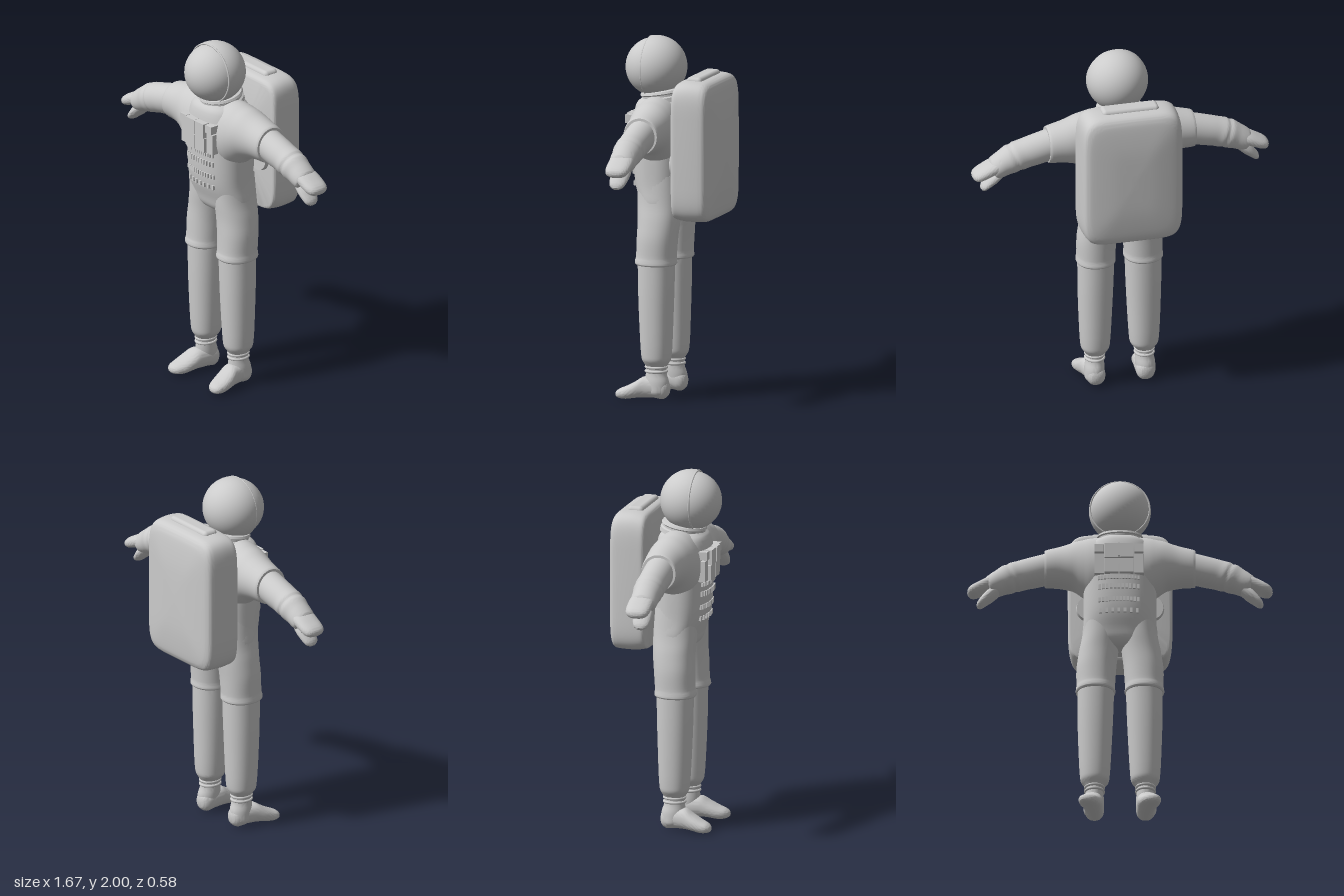
import * as THREE from 'three';
import { toCreasedNormals } from 'three/addons/utils/BufferGeometryUtils.js';
import { RoundedBoxGeometry } from 'three/addons/geometries/RoundedBoxGeometry.js';

const material = new THREE.MeshStandardMaterial({ color: 0xcccccc });
const X = [1, 0, 0], Y = [0, 1, 0], Z = [0, 0, 1];

// Smooth the section list without overshoot
function refine(rows, steps) {
  const out = [];
  const slope = (i, k) => {
    if (i === 0 || i === rows.length - 1) return 0;
    const a = rows[i][k] - rows[i - 1][k], b = rows[i + 1][k] - rows[i][k];
    return a * b <= 0 ? 0 : Math.sign(a) * Math.min(Math.abs(a + b) / 2, 2 * Math.abs(a), 2 * Math.abs(b));
  };
  for (let i = 0; i < rows.length - 1; i++) {
    for (let j = 0; j < steps; j++) {
      const t = j / steps, t2 = t * t, t3 = t2 * t;
      out.push(rows[i].map((p, k) => {
        const q = rows[i + 1][k];
        const m0 = i === 0 ? q - p : slope(i, k);
        const m1 = i === rows.length - 2 ? q - p : slope(i + 1, k);
        return (2 * t3 - 3 * t2 + 1) * p + (t3 - 2 * t2 + t) * m0 + (3 * t2 - 2 * t3) * q + (t3 - t2) * m1;
      }));
    }
  }
  out.push(rows[rows.length - 1]);
  return out;
}

// Closed loft through superellipse sections [cx, cy, cz, ru, rv]; side -1 mirrors in x
function loft(rows, u, v, { side = 1, n = 2, steps = 4, seg = 40, crease = 0.7 } = {}) {
  const rings = refine(rows, steps);
  const cap = r => [r[0], r[1], r[2], 0, 0];
  rings.unshift(cap(rings[0]));
  rings.push(cap(rings[rings.length - 1]));
  const pos = [], idx = [];
  const power = c => Math.sign(c) * Math.pow(Math.abs(c), 2 / n);
  rings.forEach(([x, y, z, ru, rv]) => {
    for (let j = 0; j < seg; j++) {
      const a = (j / seg) * Math.PI * 2;
      const p = power(Math.cos(a)) * ru, q = power(Math.sin(a)) * rv;
      pos.push(side * (x + u[0] * p + v[0] * q), y + u[1] * p + v[1] * q, z + u[2] * p + v[2] * q);
    }
  });
  for (let i = 0; i < rings.length - 1; i++) {
    for (let j = 0; j < seg; j++) {
      const a = i * seg + j, b = i * seg + (j + 1) % seg;
      idx.push(a, b, a + seg, b, b + seg, a + seg);
    }
  }
  // Turn the faces outward
  const P = k => new THREE.Vector3().fromArray(pos, k * 3);
  let volume = 0;
  for (let k = 0; k < idx.length; k += 3) volume += P(idx[k]).dot(P(idx[k + 1]).cross(P(idx[k + 2])));
  if (volume < 0) idx.reverse();
  const g = new THREE.BufferGeometry();
  g.setAttribute('position', new THREE.Float32BufferAttribute(pos, 3));
  g.setIndex(idx);
  return toCreasedNormals(g, crease);
}

export function createModel() {
  const root = new THREE.Group();
  root.name = 'astronaut';
  const add = (name, geometry, x = 0, y = 0, z = 0) => {
    const m = new THREE.Mesh(geometry, material);
    m.name = name;
    m.position.set(x, y, z);
    root.add(m);
    return m;
  };

  // Helmet shell, open toward the front, with visor and rim
  const front = Math.PI / 2;
  add('helmetShell', new THREE.SphereGeometry(0.17, 48, 32, 0, Math.PI * 2, 1.36, Math.PI - 1.36).rotateX(front), 0, 1.83, 0.12);
  add('visor', new THREE.SphereGeometry(0.161, 48, 32), 0, 1.828, 0.129);
  add('visorRim', new THREE.TorusGeometry(0.163, 0.005, 10, 56), 0, 1.83, 0.154);

  // Neck collar, tilted forward
  const collar = [[0.1, -0.05], [0.13, -0.035], [0.128, -0.012], [0.119, -0.005], [0.119, 0.006], [0.126, 0.012], [0.12, 0.024], [0.1, 0.03]];
  add('collar', toCreasedNormals(new THREE.LatheGeometry(collar.map(p => new THREE.Vector2(...p)), 48), 0.7), 0, 1.677, 0.08).rotation.x = 0.16;

  // Suit body and the shoulders that flow into short sleeves
  add('torso', loft([
    [0, 1.66, 0.08, 0.12, 0.11], [0, 1.62, 0.083, 0.165, 0.138], [0, 1.5, 0.085, 0.195, 0.15],
    [0, 1.35, 0.08, 0.2, 0.15], [0, 1.2, 0.075, 0.199, 0.143], [0, 1.1, 0.063, 0.207, 0.125],
    [0, 1.05, 0.06, 0.195, 0.113], [0, 1.02, 0.06, 0.12, 0.085], [0, 1.01, 0.06, 0.04, 0.04],
  ], X, Z, { n: 2.4, seg: 56 }));
  const half = [
    [0.413, 1.51, 0.06, 0.1, 0.097], [0.408, 1.51, 0.06, 0.104, 0.1], [0.33, 1.518, 0.06, 0.117, 0.11],
    [0.26, 1.52, 0.065, 0.137, 0.122], [0.2, 1.505, 0.07, 0.165, 0.135], [0.14, 1.49, 0.075, 0.19, 0.142],
  ];
  add('shoulders', loft([
    ...half, [0, 1.483, 0.08, 0.2, 0.148], ...half.map(([x, ...r]) => [-x, ...r]).reverse(),
  ], Y, Z, { seg: 56 }));

  for (const side of [1, -1]) {
    const name = part => (side > 0 ? 'left' : 'right') + part;
    const part = (label, rows, u, v, options) => add(name(label), loft(rows, u, v, { side, ...options }));

    // Arm, mitten fingers and thumb
    part('Arm', [
      [0.36, 1.52, 0.06, 0.088, 0.085], [0.48, 1.488, 0.06, 0.087, 0.083], [0.54, 1.473, 0.06, 0.084, 0.081],
      [0.575, 1.463, 0.06, 0.084, 0.084], [0.595, 1.456, 0.06, 0.079, 0.079], [0.615, 1.449, 0.06, 0.081, 0.082],
      [0.65, 1.433, 0.06, 0.073, 0.076], [0.69, 1.412, 0.06, 0.066, 0.074], [0.715, 1.4, 0.06, 0.056, 0.068],
      [0.725, 1.395, 0.06, 0.025, 0.04],
    ], [0.37, 0.93, 0], Z);
    part('Fingers', [
      [0.66, 1.44, 0.06, 0.035, 0.06], [0.72, 1.415, 0.056, 0.037, 0.07], [0.77, 1.392, 0.055, 0.034, 0.069],
      [0.803, 1.376, 0.055, 0.031, 0.063], [0.822, 1.367, 0.055, 0.023, 0.05], [0.832, 1.362, 0.055, 0.01, 0.025],
    ], [0.46, 0.89, 0], Z, { n: 2.3 });
    part('Thumb', [
      [0.66, 1.395, 0.06, 0.03, 0.05], [0.71, 1.35, 0.062, 0.032, 0.055], [0.745, 1.317, 0.064, 0.026, 0.05],
      [0.768, 1.293, 0.065, 0.02, 0.04], [0.779, 1.28, 0.065, 0.01, 0.02],
    ], [0.68, 0.73, 0], Z);

    // Upper leg ending in a knee cuff, then lower leg
    part('UpperLeg', [
      [0.1, 1.25, 0.07, 0.095, 0.12], [0.105, 1.1, 0.062, 0.102, 0.121], [0.118, 1, 0.06, 0.108, 0.117],
      [0.13, 0.9, 0.065, 0.109, 0.113], [0.133, 0.8, 0.07, 0.106, 0.111], [0.134, 0.775, 0.072, 0.108, 0.115],
      [0.134, 0.762, 0.072, 0.109, 0.116], [0.134, 0.753, 0.072, 0.104, 0.11],
    ], X, Z, { n: 2.15 });
    part('LowerLeg', [
      [0.133, 0.77, 0.07, 0.101, 0.102], [0.136, 0.55, 0.07, 0.096, 0.097], [0.138, 0.27, 0.068, 0.083, 0.085],
      [0.138, 0.225, 0.068, 0.077, 0.079], [0.139, 0.2, 0.068, 0.06, 0.065], [0.14, 0.185, 0.068, 0.049, 0.056],
    ], X, Z, { n: 2.15 });

    // Ankle rings and boot
    for (const y of [0.183, 0.16]) {
      add(name('AnkleRing'), new THREE.TorusGeometry(0.05, 0.008, 10, 36).rotateX(front).scale(1, 1, 1.13), side * 0.14, y, 0.068);
    }
    part('Ankle', [
      [0.14, 0.2, 0.068, 0.049, 0.056], [0.14, 0.15, 0.068, 0.05, 0.058], [0.143, 0.1, 0.062, 0.055, 0.066],
      [0.145, 0.05, 0.058, 0.054, 0.06], [0.146, 0.02, 0.055, 0.035, 0.04],
    ], X, Z);
    part('Boot', [
      [0.14, 0.065, -0.008, 0.012, 0.014], [0.14, 0.063, 0, 0.034, 0.037], [0.14, 0.062, 0.03, 0.051, 0.056],
      [0.143, 0.07, 0.08, 0.055, 0.058], [0.15, 0.07, 0.13, 0.058, 0.058], [0.16, 0.054, 0.18, 0.062, 0.046],
      [0.168, 0.037, 0.23, 0.058, 0.036], [0.174, 0.031, 0.265, 0.046, 0.027], [0.177, 0.028, 0.283, 0.027, 0.016],
      [0.178, 0.027, 0.289, 0.008, 0.006],
    ], X, Y, { n: 2.3 });

    // Round fitting on the pack beside the waist
    add(name('PackFitting'), new THREE.CylinderGeometry(0.072, 0.08, 0.035, 36).rotateX(front), side * 0.165, 1.325, -0.06);
  }

  // Chest control blocks, following the curve of the chest
  const chestZ = (x, y) => 0.075 + (0.157 - Math.max(0, 1.35 - y) * 0.1) * Math.pow(1 - Math.pow(Math.abs(x) / 0.2, 2.4), 1 / 2.4);
  const block = (name, x, y, w, h, proud) =>
    add(name, new THREE.BoxGeometry(w, h, 0.06), x, y, chestZ(x, y) + proud - 0.03);
  for (const s of [1, -1]) {
    block('upperControlBlock', s * 0.041 - 0.004, 1.532, 0.076, 0.084, 0.034);
    block('lowerControlBlock', s * 0.041 - 0.004, 1.445, 0.076, 0.082, 0.028);
    block('cornerControlBlock', s * 0.109 - 0.004, 1.55, 0.05, 0.046, 0.038);
    block('sideControlBlock', s * 0.109 - 0.004, 1.462, 0.052, 0.116, 0.028);
  }
  block('controlDivider', -0.004, 1.535, 0.012, 0.076, 0.038);

  // Rows of small buttons below
  for (const [y, h, count] of [[1.383, 0.02, 14], [1.33, 0.028, 11], [1.255, 0.026, 12], [1.19, 0.026, 7]]) {
    for (let i = 0; i < count; i++) {
      const pitch = 0.232 / count;
      block('chestButton', -0.121 + (i + 0.5) * pitch, y, Math.min(0.014, pitch * 0.7), h, 0.009);
    }
  }

  // Backpack with rounded corners and a gently bulging rear
  add('backpack', loft([
    [0, 1.392, -0.064, 0.265, 0.36], [0, 1.394, -0.068, 0.278, 0.372], [0, 1.4, -0.09, 0.287, 0.384],
    [0, 1.4, -0.15, 0.286, 0.391], [0, 1.398, -0.22, 0.281, 0.388], [0, 1.394, -0.25, 0.274, 0.378],
    [0, 1.392, -0.264, 0.258, 0.358], [0, 1.39, -0.273, 0.23, 0.325], [0, 1.39, -0.287, 0.12, 0.19],
    [0, 1.39, -0.291, 0.02, 0.04],
  ], X, Y, { n: 7, seg: 72, crease: 0.8 }));
  add('packTopPad', new RoundedBoxGeometry(0.32, 0.05, 0.09, 4, 0.022), 0, 1.783, -0.155);

  return root;
}
